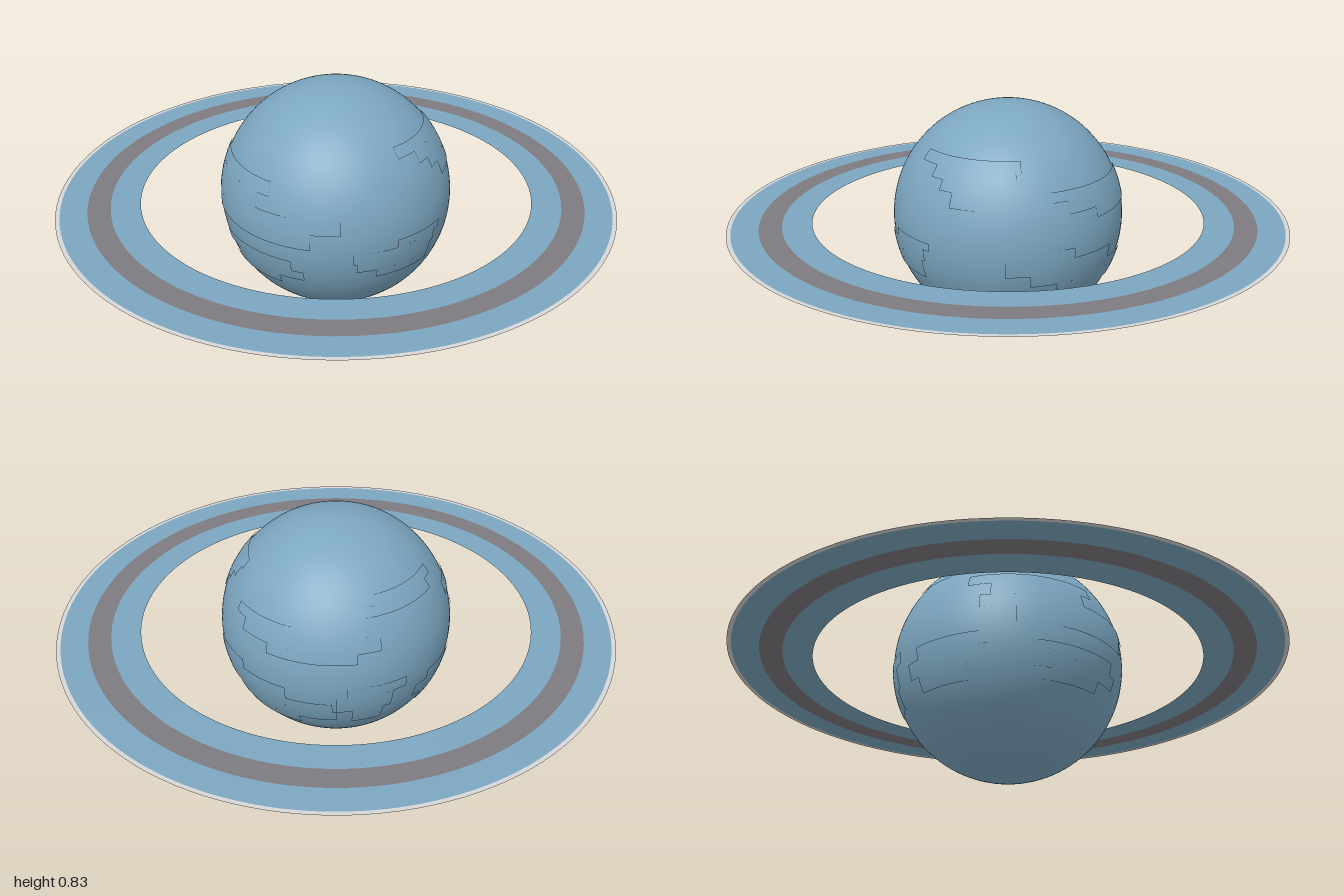
import * as THREE from 'three';
import { mergeGeometries } from 'three/addons/utils/BufferGeometryUtils.js';

const R = 0.415;
const RAISE = 0.004;

const material = (name, color, side = THREE.FrontSide) => {
  const m = new THREE.MeshStandardMaterial({ color, side });
  m.name = name;
  return m;
};

// Landmasses as stepped rows: [low latitude, high latitude, start longitude, end longitude].
// Longitude 0 is the front and grows towards +x.
const LANDS = {
  frontIsland: [[-4, 0, 0, 28], [-10, -4, -22, 24], [-15, -10, -20, 22], [-20, -15, -10, 22]],
  upperLeftCoast: [[37, 43, 8, 75], [31, 37, 22, 72], [26, 31, 30, 66], [19, 26, 38, 62]],
  leftRidge: [[22, 27, 90, 165], [16, 22, 98, 172], [11, 16, 115, 160]],
  leftLowland: [[-5, 0, 75, 100], [-12, -5, 66, 125], [-18, -12, 78, 148],
    [-26, -18, 92, 150], [-33, -26, 96, 130]],
  backIsland: [[-8, -2, 155, 185], [-18, -8, 150, 178], [-28, -18, 158, 174]],
  backUpland: [[37, 42, 172, 222], [32, 37, 166, 214]],
  rightCoast: [[20, 27, 228, 295], [13, 20, 240, 288], [6, 13, 235, 332], [-2, 6, 252, 318]],
  backLowland: [[-12, -6, 200, 235], [-20, -12, 192, 240], [-28, -20, 198, 228]],
  rightLowland: [[-16, -10, 262, 308], [-22, -16, 270, 314], [-28, -22, 255, 300]],
};

// Thin raised shell made of latitude rows
function landGeometry(rows) {
  const rad = THREE.MathUtils.degToRad;
  return mergeGeometries(rows.map(([low, high, start, end]) =>
    new THREE.SphereGeometry(R + RAISE, Math.ceil((end - start) / 3), 3,
      rad(90 + start), rad(end - start), rad(90 - high), rad(high - low))));
}

export function createModel() {
  const model = new THREE.Group();
  model.name = 'ringedPlanet';
  const blue = material('planetBlue', 0x7ca6c0);
  const ringBlue = material('ringBlue', 0x7ca6c0, THREE.DoubleSide);
  const grey = material('ringGrey', 0x7d7b80, THREE.DoubleSide);
  const pale = material('ringPale', 0xd6d6d6, THREE.DoubleSide);

  const add = (name, geometry, mat, parent = model) => {
    const mesh = new THREE.Mesh(geometry, mat);
    mesh.name = name;
    mesh.position.y = R;
    parent.add(mesh);
    return mesh;
  };

  // Planet body and its raised land
  add('planet', new THREE.SphereGeometry(R, 96, 64), blue);
  const lands = new THREE.Group();
  lands.name = 'landmasses';
  model.add(lands);
  for (const [name, rows] of Object.entries(LANDS)) add(name, landGeometry(rows), blue, lands);

  // Flat concentric ring bands
  const bands = [
    ['innerRing', 0.705, 0.81, ringBlue],
    ['middleRing', 0.81, 0.89, grey],
    ['outerRing', 0.89, 0.985, ringBlue],
    ['ringEdge', 0.985, 1, pale],
  ];
  for (const [name, inner, outer, mat] of bands) {
    add(name, new THREE.RingGeometry(inner, outer, 128).rotateX(-Math.PI / 2), mat);
  }
  return model;
}
